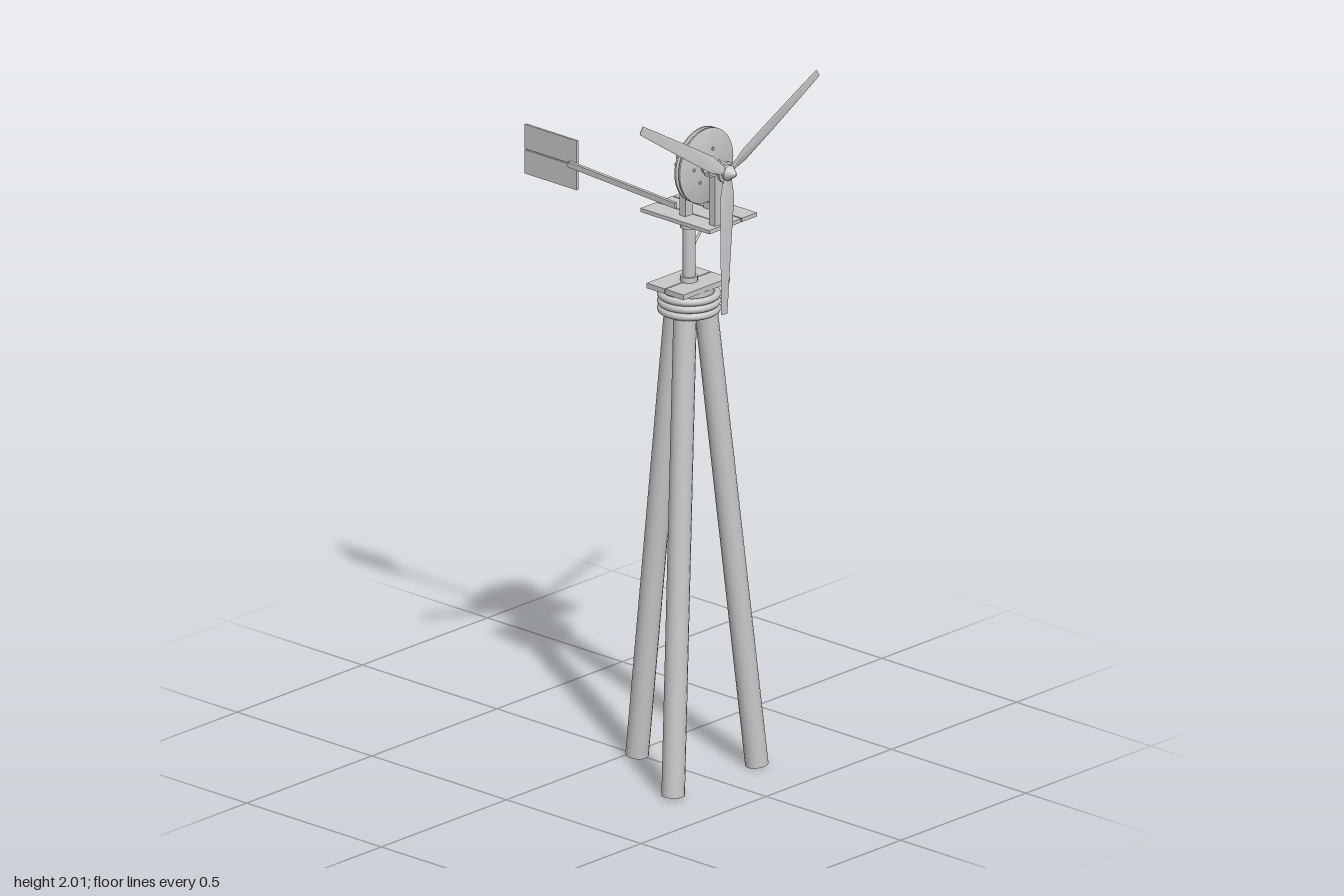
import * as THREE from 'three';
import { toCreasedNormals } from 'three/addons/utils/BufferGeometryUtils.js';

const C = -0.007;   // x of the tower axis
const CZ = 0.22;    // z of the tower axis
const AXLE = 1.78;  // height of the rotor shaft

export function createModel() {
  const model = new THREE.Group();
  model.name = 'windTurbine';
  const grey = new THREE.MeshStandardMaterial({ color: 0xc8c8c8 });
  grey.name = 'plain grey';

  const add = (name, geometry, x = 0, y = 0, z = 0, parent = model) => {
    const mesh = new THREE.Mesh(geometry, grey);
    mesh.name = name;
    mesh.position.set(x, y, z);
    parent.add(mesh);
    return mesh;
  };
  // Box given by its min and max corners
  const box = (name, x0, x1, y0, y1, z0, z1) =>
    add(name, new THREE.BoxGeometry(x1 - x0, y1 - y0, z1 - z0), (x0 + x1) / 2, (y0 + y1) / 2, (z0 + z1) / 2);
  // Round bar between two points
  const rod = (name, a, b, r0, r1 = r0, sides = 16) => {
    const from = new THREE.Vector3(...a), to = new THREE.Vector3(...b);
    const dir = to.clone().sub(from);
    const mesh = add(name, new THREE.CylinderGeometry(r1, r0, dir.length(), sides));
    mesh.position.copy(from).add(to).multiplyScalar(0.5);
    mesh.quaternion.setFromUnitVectors(new THREE.Vector3(0, 1, 0), dir.normalize());
    return mesh;
  };
  // Turned part whose axis points forward
  const turned = (name, profile, x, y, z) => {
    const lathe = new THREE.LatheGeometry(profile.map(p => new THREE.Vector2(...p)), 40);
    return add(name, toCreasedNormals(lathe.rotateX(Math.PI / 2), 0.6), x, y, z);
  };
  const cable = (name, points, r) => {
    const path = new THREE.CatmullRomCurve3(points.map(p => new THREE.Vector3(...p)), false, 'catmullrom', 0.15);
    add(name, new THREE.TubeGeometry(path, 48, r, 8));
  };

  // Tripod legs
  for (const deg of [30, 150, 270]) {
    const c = Math.cos(deg * Math.PI / 180), s = Math.sin(deg * Math.PI / 180);
    rod('leg', [C + 0.193 * c, 0.004, CZ + 0.193 * s], [C + 0.042 * c, 1.4, CZ + 0.042 * s], 0.032);
  }

  // Rope rings binding the leg tops
  for (let i = 0; i < 3; i++) {
    const ring = new THREE.TorusGeometry(0.077, 0.0105, 10, 36).rotateX(Math.PI / 2);
    add('bindingRing', ring, C, 1.352 + i * 0.021, CZ);
  }

  // Tower head with its two planks
  add('headBlock', new THREE.CylinderGeometry(0.068, 0.068, 0.022, 28), C, 1.406, CZ);
  box('headPlank', -0.1, 0.085, 1.415, 1.43, 0.149, 0.216);
  box('headPlank', -0.1, 0.085, 1.415, 1.43, 0.219, 0.286);

  // Turning post
  rod('post', [C, 1.4, CZ], [C, 1.61, CZ], 0.018);
  rod('postCollar', [C, 1.585, CZ], [C, 1.61, CZ], 0.024);
  rod('postFoot', [C, 1.43, CZ], [C, 1.445, CZ], 0.024);

  // Platform planks
  for (const [x0, x1] of [[-0.056, 0.007], [0.01, 0.071], [0.075, 0.135]])
    box('platformPlank', x0, x1, 1.608, 1.619, 0.085, 0.341);

  // Uprights carrying the shaft bearings
  for (const z of [0.32, 0.209]) {
    box('upright', C - 0.015, C + 0.015, 1.619, 1.766, z - 0.011, z + 0.011);
    box('bearingFlange', C - 0.034, C + 0.034, 1.766, 1.773, z - 0.012, z + 0.012);
    rod('bearing', [C, AXLE, z - 0.015], [C, AXLE, z + 0.015], 0.017, 0.017, 24);
    for (const side of [-1, 1])
      rod('bearingBolt', [C + side * 0.026, 1.77, z], [C + side * 0.026, 1.777, z], 0.004, 0.004, 6);
  }
  rod('shaft', [C, AXLE, 0.18], [C, AXLE, 0.37], 0.01);

  // Large grooved pulley with its hub and bolts
  turned('largePulley', [[0, -0.01], [0.107, -0.01], [0.107, -0.005], [0.1, -0.002],
    [0.1, 0.002], [0.107, 0.005], [0.107, 0.01], [0, 0.01]], C, AXLE, 0.275);
  rod('pulleyHub', [C, AXLE, 0.258], [C, AXLE, 0.292], 0.022, 0.022, 24);
  for (let i = 0; i < 6; i++) {
    const a = i * Math.PI / 3, x = C + 0.05 * Math.cos(a), y = AXLE + 0.05 * Math.sin(a);
    rod('pulleyBolt', [x, y, 0.262], [x, y, 0.288], 0.005, 0.005, 6);
  }

  // Generator
  const gx = 0.086, gy = 1.663;
  turned('generator', [[0, -0.03], [0.02, -0.03], [0.028, -0.024], [0.028, 0.02],
    [0.021, 0.026], [0, 0.026]], gx, gy, 0.231);
  box('generatorFoot', gx - 0.022, gx + 0.022, 1.619, 1.64, 0.207, 0.252);
  rod('generatorShaft', [gx, gy, 0.25], [gx, gy, 0.29], 0.005, 0.005, 10);
  turned('smallPulley', [[0, -0.009], [0.016, -0.009], [0.013, 0], [0.016, 0.009], [0, 0.009]], gx, gy, 0.275);

  // Belt spans, tangent to both pulleys
  const dx = gx - C, dy = gy - AXLE, R = 0.102, r = 0.014;
  for (const side of [-1, 1]) {
    const a = Math.atan2(dy, dx) + side * Math.acos((R - r) / Math.hypot(dx, dy));
    const c = Math.cos(a), s = Math.sin(a);
    rod('belt', [C + R * c, AXLE + R * s, 0.275], [gx + r * c, gy + r * s, 0.275], 0.003, 0.003, 8);
  }

  // Cable from generator into the post, and down the rear leg to the ground
  cable('upperCable', [[gx, 1.672, 0.2], [0.1, 1.675, 0.189], [0.145, 1.61, 0.185],
    [0.092, 1.56, 0.187], [0.042, 1.51, 0.191], [0.018, 1.43, 0.212]], 0.004);
  cable('lowerCable', [[0.02, 1.41, 0.18], [0.025, 1.34, 0.172], [0.029, 0.75, 0.108],
    [0.03, 0.14, 0.042], [0.048, 0.004, 0.0]], 0.004);

  // Tail boom and vane boards
  const boom = box('tailBoom', C - 0.005, C + 0.005, 1.637, 1.653, -0.226, 0.171);
  boom.rotation.x = 0.05;
  box('vaneBoard', C + 0.005, C + 0.012, 1.583, 1.652, -0.395, -0.202);
  box('vaneBoard', C + 0.005, C + 0.012, 1.655, 1.726, -0.395, -0.202);

  // Rotor: hub plate, nose cone and three twisted blades
  const rotor = new THREE.Group();
  rotor.name = 'rotor';
  rotor.position.set(C, AXLE, 0.364);
  model.add(rotor);
  add('hubPlate', new THREE.CylinderGeometry(0.03, 0.03, 0.01, 24).rotateX(Math.PI / 2), 0, 0, -0.008, rotor);
  add('hub', new THREE.CylinderGeometry(0.022, 0.022, 0.012, 20).rotateX(Math.PI / 2), 0, 0, 0, rotor);
  add('noseCone', new THREE.CylinderGeometry(0.004, 0.022, 0.025, 20).rotateX(Math.PI / 2), 0, 0, 0.0185, rotor);
  const blade = bladeGeometry();
  for (const deg of [28, 148, 268])
    add('blade', blade, 0, 0, 0, rotor).rotation.z = deg * Math.PI / 180;

  return model;
}

// Blade along +x: lens-shaped sections of [radius, chord, thickness, twist]
function bladeGeometry() {
  const sections = [[0.012, 0.022, 0.01, 0.3], [0.04, 0.034, 0.009, 0.28], [0.075, 0.046, 0.008, 0.22],
    [0.2, 0.039, 0.006, 0.12], [0.32, 0.031, 0.004, 0.06], [0.408, 0.025, 0.002, 0.03]];
  const pos = [], index = [], n = 6;
  for (const [r, chord, thick, twist] of sections)
    for (let j = 0; j < n; j++) {
      const a = j / n * Math.PI * 2;
      const u = Math.cos(a) * chord / 2, v = Math.sin(a) * thick / 2;
      pos.push(r, u * Math.cos(twist) - v * Math.sin(twist), u * Math.sin(twist) + v * Math.cos(twist));
    }
  const last = (sections.length - 1) * n;
  for (let i = 0; i < last; i += n)
    for (let j = 0; j < n; j++) {
      const a = i + j, b = i + (j + 1) % n;
      index.push(a, b, b + n, a, b + n, a + n);
    }
  for (let j = 1; j < n - 1; j++) index.push(0, j + 1, j, last, last + j, last + j + 1);
  const g = new THREE.BufferGeometry();
  g.setAttribute('position', new THREE.Float32BufferAttribute(pos, 3));
  g.setIndex(index);
  return toCreasedNormals(g, 0.6);
}
